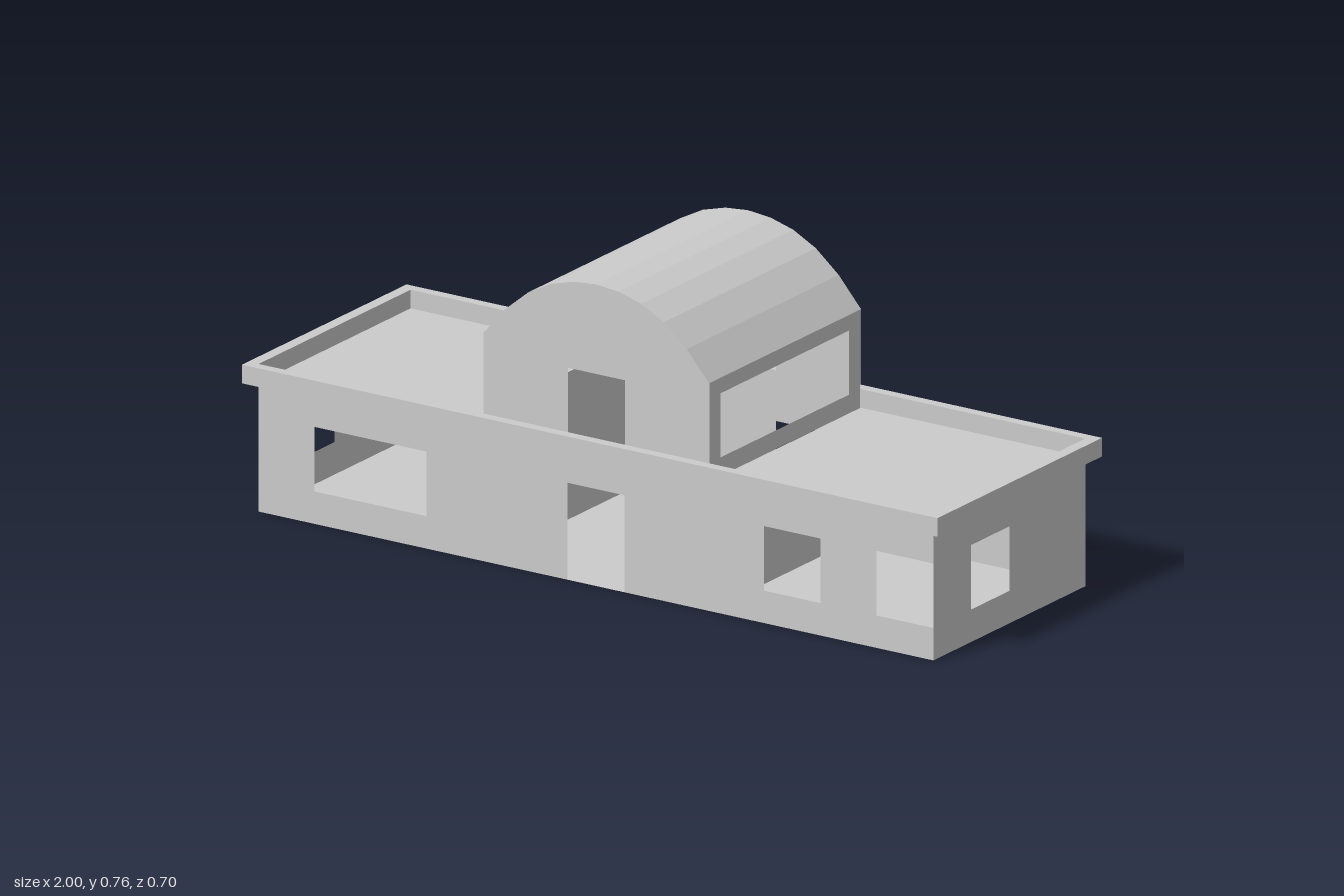
import * as THREE from 'three';
import { mergeGeometries } from 'three/addons/utils/BufferGeometryUtils.js';

const W = 0.97, D = 0.325, H = 0.326;     // half width, half depth and height of the main block
const HALL = 0.325;                       // half width of the central hall
const RIM = 0.373;                        // top of the roof parapet
const SPRING = 0.575;                     // where the vault starts
const SILL = 0.082, HEAD = 0.245;         // window bottom and top

const material = new THREE.MeshStandardMaterial({
  color: 0xcccccc, flatShading: true, side: THREE.DoubleSide,
});

// Flat wall from u0 to u1 and y0 to y1, with openings [a, b, bottom, top] sorted along u
function wallGeometry(u0, u1, y0, y1, openings = []) {
  const parts = [];
  const rect = (a, b, c, d) => {
    if (b - a < 1e-4 || d - c < 1e-4) return;
    parts.push(new THREE.PlaneGeometry(b - a, d - c).translate((a + b) / 2, (c + d) / 2, 0));
  };
  let u = u0;
  for (const [a, b, bottom, top] of openings) {
    rect(u, a, y0, y1);
    rect(a, b, y0, bottom);
    rect(a, b, top, y1);
    u = b;
  }
  rect(u, u1, y0, y1);
  return mergeGeometries(parts);
}

export function createModel() {
  const model = new THREE.Group();
  const add = (name, geometry, parent = model) => {
    const mesh = new THREE.Mesh(geometry, material);
    mesh.name = name;
    parent.add(mesh);
    return mesh;
  };
  const facingZ = (name, z, geometry) => add(name, geometry.translate(0, 0, z));
  const facingX = (name, x, geometry) => add(name, geometry.rotateY(-Math.PI / 2).translate(x, 0, 0));

  // Main block: front with door and windows, back with four windows
  facingZ('frontWall', D, wallGeometry(-W, W, 0, H, [
    [-0.81, -0.487, SILL, HEAD],
    [-0.082, 0.082, 0, HEAD],
    [0.483, 0.645, SILL, HEAD],
    [0.807, W, SILL, HEAD],
  ]));
  facingZ('backWall', -D, wallGeometry(-W, W, 0, H, [
    [-0.81, -0.645, SILL, HEAD],
    [-0.325, -0.08, SILL, HEAD],
    [0.08, 0.325, SILL, HEAD],
    [0.483, 0.645, SILL, HEAD],
  ]));
  add('floor', new THREE.PlaneGeometry(2 * W, 2 * D).rotateX(-Math.PI / 2));

  for (const [side, s] of [['left', 1], ['right', -1]]) {
    facingX(side + 'Wall', s * W, wallGeometry(-D, D, 0, H, [[0, 0.163, SILL, HEAD]]));
    // Inner wall between the hall and the side room
    facingX(side + 'Partition', s * HALL, wallGeometry(-D, D, 0, H));
    // Roof over the side room; the hall stays open upward
    add(side + 'RoofDeck', new THREE.PlaneGeometry(W - HALL, 2 * D)
      .rotateX(-Math.PI / 2).translate(s * (W + HALL) / 2, H, 0));
    // Raised hall side with its long opening
    facingX(side + 'UpperWall', s * (HALL - 0.001),
      wallGeometry(-D + 0.002, D - 0.002, H, SPRING, [[-0.275, 0.275, RIM, 0.535]]));
  }

  // Overhanging parapet around the roof
  const outline = (x, z) => [[-x, -z], [x, -z], [x, z], [-x, z]].map((p) => new THREE.Vector2(...p));
  const rim = new THREE.Shape(outline(1, 0.352));
  rim.holes.push(new THREE.Path(outline(W, D)));
  add('parapet', new THREE.ExtrudeGeometry(rim, { depth: RIM - H, bevelEnabled: false })
    .rotateX(-Math.PI / 2).translate(0, H, 0));

  // Raised hall: front and back walls with a central opening
  for (const [name, z] of [['upperFrontWall', D - 0.002], ['upperBackWall', -D + 0.002]]) {
    facingZ(name, z, wallGeometry(-HALL, HALL, H, SPRING, [[-0.082, 0.082, H, 0.535]]));
  }

  // Faceted barrel vault
  const half = [[HALL, SPRING], [0.261, 0.649], [0.195, 0.704], [0.13, 0.738], [0.065, 0.756]];
  const arch = [...half, [0, 0.762], ...half.map(([x, y]) => [-x, y]).reverse()];
  const vault = new THREE.Shape(arch.map((p) => new THREE.Vector2(...p)));
  add('vaultedRoof', new THREE.ExtrudeGeometry(vault, { depth: 2 * D, bevelEnabled: false })
    .translate(0, 0, -D));

  return model;
}
